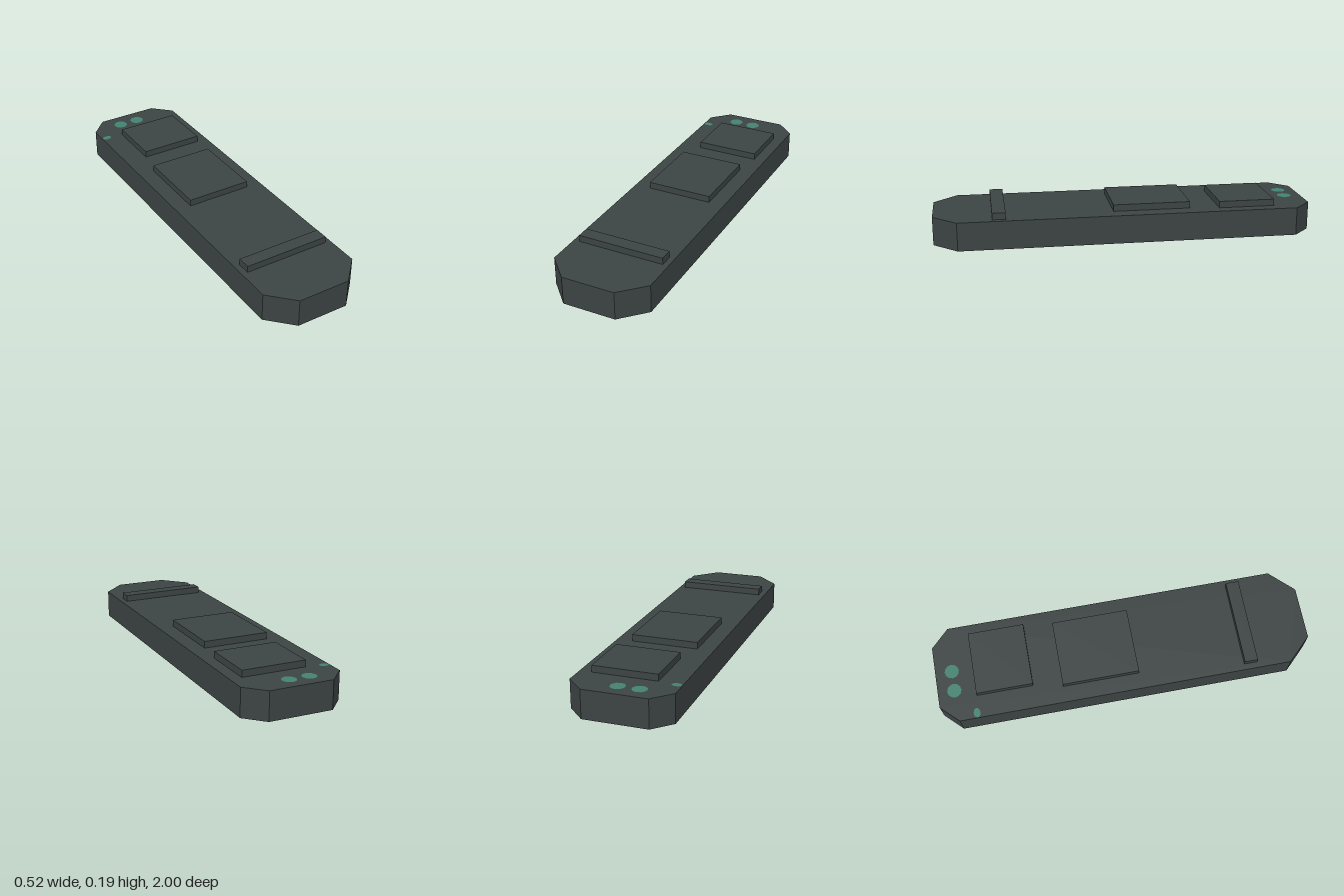
import * as THREE from 'three';

export function createModel() {
  const group = new THREE.Group();
  const casing = new THREE.MeshStandardMaterial({ name: 'dark casing', color: 0x3c4343 });
  const teal = new THREE.MeshStandardMaterial({ name: 'teal lights', color: 0x438170 });
  const top = 0.15;

  function add(name, geometry, material) {
    const mesh = new THREE.Mesh(geometry, material);
    mesh.name = name;
    group.add(mesh);
    return mesh;
  }

  // Long slab with chamfered corners, outlined in x and z
  const outline = [
    [-0.17, -1], [0.165, -1], [0.262, -0.905], [0.262, 0.875],
    [0.14, 1], [-0.141, 1], [-0.262, 0.875], [-0.262, -0.905],
  ];
  const shape = new THREE.Shape(outline.map(([x, z]) => new THREE.Vector2(x, z)));
  const slab = new THREE.ExtrudeGeometry(shape, { depth: top, bevelEnabled: false });
  slab.rotateX(Math.PI / 2).translate(0, top, 0);
  add('body', slab, casing);

  // Raised plates: x range, z range
  const plates = [
    ['rearPlate', -0.14, 0.2, -0.797, -0.498],
    ['middlePlate', -0.175, 0.178, -0.343, 0.065],
    ['frontBar', -0.23, 0.232, 0.627, 0.697],
  ];
  for (const [name, x0, x1, z0, z1] of plates) {
    const plate = add(name, new THREE.BoxGeometry(x1 - x0, 0.035, z1 - z0), casing);
    plate.position.set((x0 + x1) / 2, top + 0.0175, (z0 + z1) / 2);
  }

  // Flush teal dots on the top face: x, z, half width, half depth
  const dots = [
    ['leftLight', 0.016, -0.912, 0.038, 0.038],
    ['rightLight', -0.092, -0.912, 0.038, 0.038],
    ['smallLight', -0.234, -0.81, 0.026, 0.018],
  ];
  for (const [name, x, z, rx, rz] of dots) {
    const dot = add(name, new THREE.CircleGeometry(1, 12).rotateX(-Math.PI / 2), teal);
    dot.scale.set(rx, 1, rz);
    dot.position.set(x, top + 0.001, z);
  }

  return group;
}
